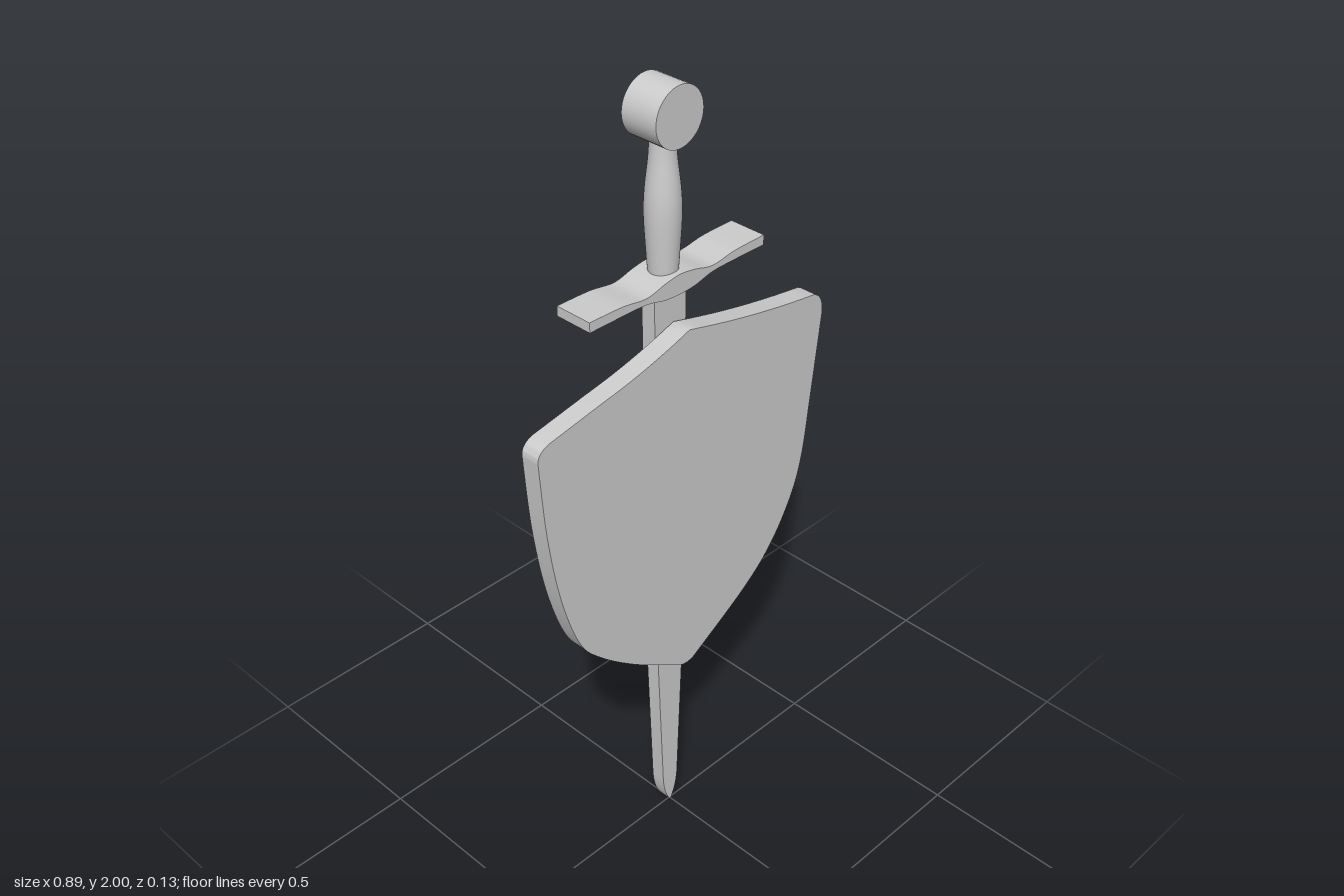
import * as THREE from 'three';
import { toCreasedNormals } from 'three/addons/utils/BufferGeometryUtils.js';

const material = new THREE.MeshStandardMaterial({ color: 0xcccccc });
const CX = -0.003; // sword axis
const CZ = -0.016;

function addMesh(group, name, geometry) {
  const mesh = new THREE.Mesh(geometry, material);
  mesh.name = name;
  group.add(mesh);
  return mesh;
}

// Flat plate cut from a shape, spanning z0..z1, with sharp rims
function plate(shape, z0, z1) {
  const geometry = new THREE.ExtrudeGeometry(shape, {
    depth: z1 - z0, bevelEnabled: false, curveSegments: 10,
  });
  geometry.translate(0, 0, z0);
  return toCreasedNormals(geometry, 0.6);
}

const points = (list) => list.map(([x, y]) => new THREE.Vector2(x, y));

export function createModel() {
  const group = new THREE.Group();

  // Shield: peaked top, rounded corners, slightly uneven sides
  const shield = new THREE.Shape();
  shield.moveTo(0, 1.455);
  shield.quadraticCurveTo(-0.13, 1.41, -0.26, 1.39);
  shield.lineTo(-0.41, 1.362);
  shield.quadraticCurveTo(-0.443, 1.353, -0.442, 1.325);
  shield.splineThru(points([[-0.427, 1.127], [-0.396, 0.94], [-0.348, 0.79],
    [-0.29, 0.712], [-0.174, 0.615], [-0.022, 0.517]]));
  shield.quadraticCurveTo(0, 0.508, 0.022, 0.517);
  shield.splineThru(points([[0.195, 0.625], [0.29, 0.71], [0.36, 0.82],
    [0.396, 0.93], [0.418, 1.1], [0.443, 1.31]]));
  shield.quadraticCurveTo(0.445, 1.36, 0.41, 1.372);
  shield.quadraticCurveTo(0.2, 1.4, 0, 1.455);
  addMesh(group, 'shield', plate(shield, 0.012, 0.061));

  // Blade: long taper with a short rounded point
  const blade = new THREE.Shape();
  blade.moveTo(CX - 0.048, 1.55);
  blade.lineTo(CX - 0.042, 0.5);
  blade.lineTo(CX - 0.025, 0.085);
  blade.quadraticCurveTo(CX - 0.02, 0.03, CX, 0);
  blade.quadraticCurveTo(CX + 0.02, 0.03, CX + 0.025, 0.085);
  blade.lineTo(CX + 0.042, 0.5);
  blade.lineTo(CX + 0.048, 1.55);
  addMesh(group, 'blade', plate(blade, -0.032, 0.006));

  // Crossguard: wavy bar, thickest in the middle
  const guard = new THREE.Shape();
  guard.moveTo(-0.262, 1.571);
  guard.lineTo(-0.262, 1.547);
  guard.splineThru(points([[-0.17, 1.547], [-0.1, 1.545], [-0.045, 1.533], [0, 1.53],
    [0.045, 1.533], [0.1, 1.545], [0.17, 1.547], [0.262, 1.547]]));
  guard.lineTo(0.262, 1.571);
  guard.splineThru(points([[0.17, 1.569], [0.1, 1.56], [0.045, 1.572], [0, 1.578],
    [-0.045, 1.572], [-0.1, 1.56], [-0.17, 1.569], [-0.262, 1.571]]));
  addMesh(group, 'crossguard', plate(guard, -0.065, 0.032));

  // Grip: swelling turned handle
  const profile = new THREE.SplineCurve(points([[0.033, 1.565], [0.036, 1.61],
    [0.041, 1.7], [0.039, 1.76], [0.031, 1.83], [0.028, 1.88]])).getPoints(20);
  const grip = addMesh(group, 'grip', new THREE.LatheGeometry(profile, 32));
  grip.position.set(CX, 0, CZ);

  // Pommel: disc lying front to back
  const pommel = addMesh(group, 'pommel', new THREE.CylinderGeometry(0.068, 0.068, 0.097, 40));
  pommel.rotation.x = Math.PI / 2;
  pommel.position.set(CX, 1.932, CZ);

  return group;
}
